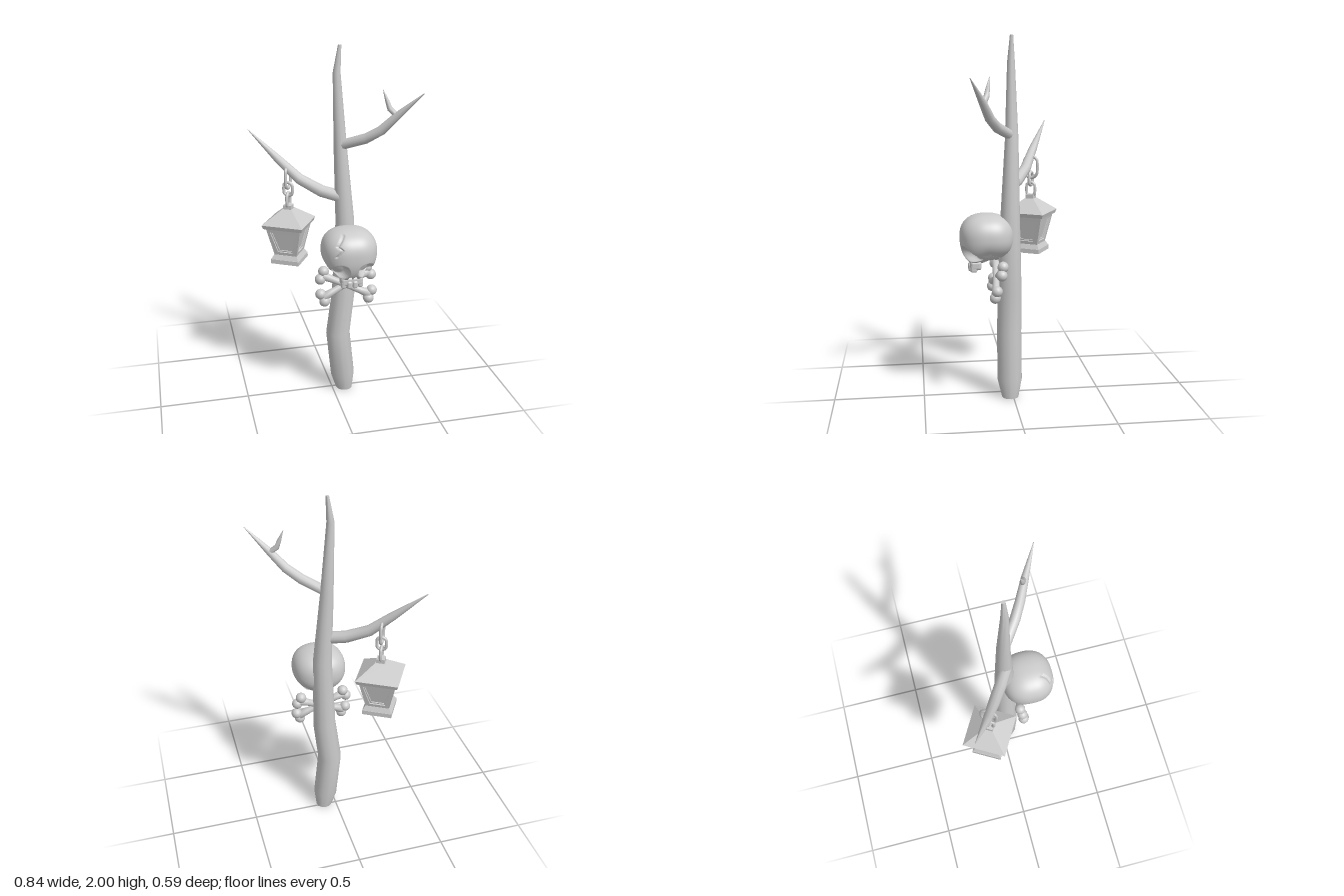
import * as THREE from 'three';
import { toCreasedNormals } from 'three/addons/utils/BufferGeometryUtils.js';
import { RoundedBoxGeometry } from 'three/addons/geometries/RoundedBoxGeometry.js';

const grey = new THREE.MeshStandardMaterial({ color: 0xcccccc });
const { clamp, smoothstep } = THREE.MathUtils;

function add(parent, name, geometry, x = 0, y = 0, z = 0) {
  const mesh = new THREE.Mesh(geometry, grey);
  mesh.name = name;
  mesh.position.set(x, y, z);
  parent.add(mesh);
  return mesh;
}

// Tapered limb through rings given as [x, y, z, radius]
function limb(rings, sides) {
  const pts = rings.map(r => new THREE.Vector3(r[0], r[1], r[2]));
  const pos = [], index = [], n = rings.length;
  const up = new THREE.Vector3(0, 1, 0), q = new THREE.Quaternion();
  rings.forEach((r, i) => {
    const dir = pts[Math.min(i + 1, n - 1)].clone().sub(pts[Math.max(i - 1, 0)]).normalize();
    if (n > 6 && (i === 0 || i === n - 1)) dir.copy(up);
    q.setFromUnitVectors(up, dir);
    for (let k = 0; k < sides; k++) {
      const a = (k / sides) * Math.PI * 2;
      const v = new THREE.Vector3(Math.sin(a) * r[3], 0, Math.cos(a) * r[3]).applyQuaternion(q).add(pts[i]);
      pos.push(v.x, v.y, v.z);
      if (i < n - 1) {
        const a0 = i * sides + k, b0 = i * sides + (k + 1) % sides;
        index.push(a0, b0, b0 + sides, a0, b0 + sides, a0 + sides);
      }
    }
  });
  // end caps
  const first = n * sides, last = (n - 1) * sides;
  pos.push(...pts[0].toArray(), ...pts[n - 1].toArray());
  for (let k = 0; k < sides; k++) {
    const k1 = (k + 1) % sides;
    index.push(first, k1, k, first + 1, last + k, last + k1);
  }
  const g = new THREE.BufferGeometry();
  g.setAttribute('position', new THREE.Float32BufferAttribute(pos, 3));
  g.setIndex(index);
  return toCreasedNormals(g, 0.95);
}

// Square frustum with hard edges, standing on y = 0
function frustum(bottom, top, height) {
  const g = new THREE.CylinderGeometry(top / Math.SQRT2, bottom / Math.SQRT2, height, 4);
  g.rotateY(Math.PI / 4).translate(0, height / 2, 0);
  return toCreasedNormals(g, 0.3);
}

// Chain link: a torus stretched along y
function link(radius, tube, stretch) {
  const g = new THREE.TorusGeometry(radius, tube, 8, 20);
  const p = g.attributes.position;
  for (let i = 0; i < p.count; i++) p.setY(i, p.getY(i) + stretch * clamp(p.getY(i) / 0.004, -1, 1));
  g.computeVertexNormals();
  return g;
}

function segmentDistance(x, y, [ax, ay], [bx, by]) {
  const dx = bx - ax, dy = by - ay;
  const t = clamp(((x - ax) * dx + (y - ay) * dy) / (dx * dx + dy * dy), 0, 1);
  return Math.hypot(x - ax - t * dx, y - ay - t * dy);
}

// Cranium: boxy ellipsoid, narrowed and lowered at the face, with dented sockets
function craniumGeometry() {
  const g = new THREE.SphereGeometry(1, 128, 96).rotateX(Math.PI / 2);
  const p = g.attributes.position, v = new THREE.Vector3();
  const box = c => Math.sign(c) * Math.abs(c) ** 0.85;
  const dents = [ // x, y, rx, ry, depth
    [-0.07, -0.083, 0.046, 0.044, 0.065], [0.07, -0.083, 0.046, 0.044, 0.065],
    [-0.014, -0.138, 0.012, 0.024, 0.035], [0.014, -0.138, 0.012, 0.024, 0.035]];
  const crack = [[-0.05, 0.112], [-0.088, 0.065], [-0.064, 0.05], [-0.095, 0.012]];
  for (let i = 0; i < p.count; i++) {
    v.fromBufferAttribute(p, i);
    const e = 2 / 0.85;
    const s = (Math.abs(v.x) ** e + Math.abs(v.y) ** e + Math.abs(v.z) ** e) ** (-1 / e);
    v.multiplyScalar(s);
    v.set(box(v.x) * 0.3 + v.x * 0.7, v.y, v.z).clampScalar(-1, 1);
    v.multiply(new THREE.Vector3(0.15, 0.127, 0.146));
    const low = clamp(-v.y / 0.127, 0, 1), front = smoothstep(v.z, 0, 0.1);
    v.x *= 1 - 0.22 * low * low;
    v.y -= 0.04 * low * front;
    if (v.z > 0) {
      let push = 0;
      for (const [x, y, rx, ry, depth] of dents) {
        const d = Math.hypot((v.x - x) / rx, (v.y - y) / ry);
        push = Math.max(push, depth * (1 - smoothstep(d, 0.6, 1.08)));
      }
      v.z -= push;
      let near = 1;
      for (let k = 0; k < 3; k++) near = Math.min(near, segmentDistance(v.x, v.y, crack[k], crack[k + 1]));
      v.multiplyScalar(1 - 0.07 * (1 - smoothstep(near, 0.001, 0.006)));
    }
    p.setXYZ(i, v.x, v.y, v.z);
  }
  g.computeVertexNormals();
  return g;
}

function buildSkull() {
  const skull = new THREE.Group();
  skull.name = 'skull';
  add(skull, 'cranium', craniumGeometry(), 0, 0, 0);
  add(skull, 'upperJaw', new RoundedBoxGeometry(0.122, 0.05, 0.06, 3, 0.015), 0, -0.152, 0.062);
  for (let i = 0; i < 4; i++) {
    const x = (i - 1.5) * 0.031;
    add(skull, 'tooth', new RoundedBoxGeometry(0.028, 0.042, 0.035, 3, 0.01), x, -0.168, 0.084 - x * x * 5);
  }
  skull.position.set(0.06, 0.928, 0.146);
  return skull;
}

// Bone along y with two knobs at each end
function buildBone() {
  const bone = new THREE.Group();
  bone.name = 'crossbone';
  const profile = [[0, -0.145], [0.026, -0.145], [0.02, -0.09], [0.017, 0], [0.02, 0.09], [0.026, 0.145], [0, 0.145]];
  add(bone, 'shaft', new THREE.LatheGeometry(profile.map(a => new THREE.Vector2(...a)), 14));
  for (const sx of [-1, 1]) for (const sy of [-1, 1])
    add(bone, 'knob', new THREE.SphereGeometry(0.03, 16, 12), sx * 0.024, sy * 0.15, 0);
  return bone;
}

function buildLantern() {
  const lantern = new THREE.Group();
  lantern.name = 'lantern';
  add(lantern, 'basePlate', frustum(0.165, 0.165, 0.025), 0, 0.78);
  add(lantern, 'baseSlope', frustum(0.16, 0.135, 0.025), 0, 0.805);
  add(lantern, 'glass', frustum(0.102, 0.17, 0.165), 0, 0.83);
  add(lantern, 'eave', frustum(0.222, 0.236, 0.022), 0, 0.993);
  add(lantern, 'roof', frustum(0.236, 0.055, 0.075), 0, 1.015);
  add(lantern, 'roofCap', frustum(0.046, 0.046, 0.025), 0, 1.088);

  // sloping window frames on the four sides
  const height = Math.hypot(0.165, 0.035);
  const outline = (inset, Type) => new Type([
    [-0.065, 0], [0.065, 0], [0.1, height], [-0.1, height]
  ].map(([x, y]) => new THREE.Vector2(x - Math.sign(x) * inset * 1.05, y + (y ? -inset : inset))));
  const frame = (outer, inner, depth) => {
    const shape = outline(outer, THREE.Shape);
    shape.holes.push(outline(inner, THREE.Path));
    return new THREE.ExtrudeGeometry(shape, { depth, bevelEnabled: false });
  };
  for (let i = 0; i < 4; i++) {
    const side = new THREE.Group();
    side.name = 'lanternSide';
    side.rotation.y = i * Math.PI / 2;
    const outer = add(side, 'windowFrame', frame(0, 0.021, 0.014), 0, 0.83, 0.051);
    const inner = add(side, 'windowTrim', frame(0.019, 0.028, 0.008), 0, 0.83, 0.049);
    outer.rotation.x = inner.rotation.x = Math.atan2(0.035, 0.165);
    lantern.add(side);
  }

  // chain hung over the branch
  add(lantern, 'chainLoop', link(0.041, 0.009, 0.022), 0, 1.272).rotation.y = Math.PI / 2;
  add(lantern, 'chainLink', link(0.026, 0.009, 0.012), 0, 1.203);
  add(lantern, 'chainLink', link(0.026, 0.009, 0.014), 0, 1.142).rotation.y = Math.PI / 2;
  lantern.position.set(-0.216, 0, -0.139);
  lantern.rotation.y = -0.52;
  return lantern;
}

export function createModel() {
  const model = new THREE.Group();
  model.name = 'skullLanternPost';

  add(model, 'trunk', limb([
    [0.07, 0, 0.016, 0.047], [0.06, 0.1, 0.018, 0.069], [0.032, 0.37, 0.018, 0.069], [0.062, 0.62, 0.018, 0.066],
    [0.07, 1.05, 0.016, 0.053], [0.046, 1.45, 0.005, 0.037], [0.024, 1.86, 0.006, 0.021], [0.04, 2, 0.005, 0.009]], 12));
  add(model, 'lanternBranch', limb([
    [0.05, 1.19, 0.02, 0.034], [-0.05, 1.212, -0.035, 0.033], [-0.16, 1.27, -0.1, 0.03],
    [-0.265, 1.372, -0.158, 0.023], [-0.415, 1.525, -0.25, 0.002]], 10));
  add(model, 'upperBranch', limb([
    [0.045, 1.475, 0.01, 0.027], [0.16, 1.525, 0.095, 0.028], [0.23, 1.575, 0.14, 0.026],
    [0.3, 1.655, 0.18, 0.021], [0.417, 1.78, 0.253, 0.002]], 10));
  add(model, 'twig', limb([
    [0.305, 1.655, 0.178, 0.014], [0.268, 1.69, 0.16, 0.015], [0.255, 1.73, 0.152, 0.011], [0.235, 1.788, 0.14, 0.001]], 8));

  model.add(buildSkull());
  for (const s of [-1, 1]) {
    const bone = buildBone();
    bone.position.set(0.06, 0.698, 0.09 + s * 0.004);
    bone.rotation.set(-0.2, 0, s * 1.12);
    model.add(bone);
  }
  model.add(buildLantern());
  return model;
}
